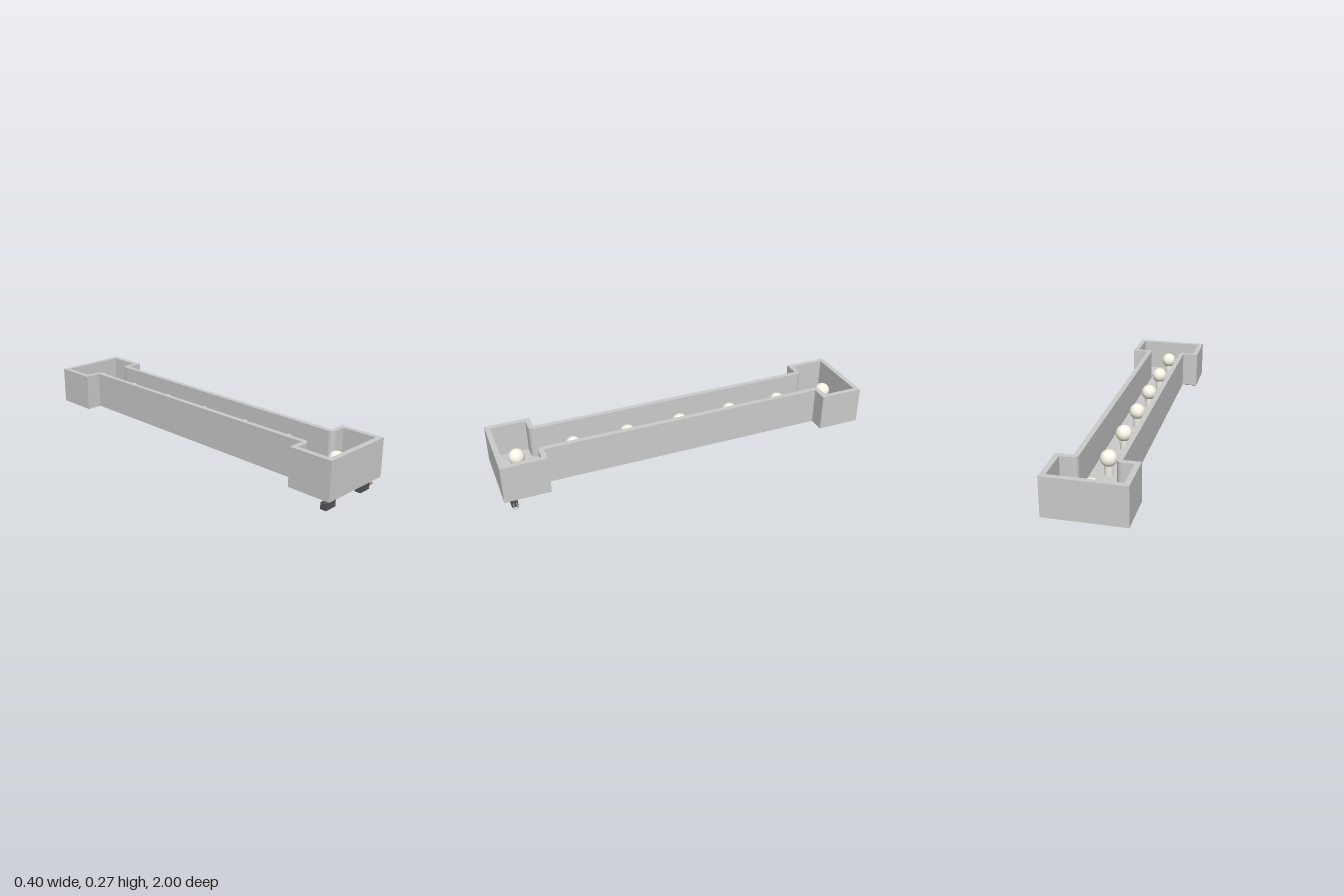
import * as THREE from 'three';

const grey = new THREE.MeshStandardMaterial({ color: 0xcccccc });
const dark = new THREE.MeshStandardMaterial({ color: 0x555555 });
const bulbMat = new THREE.MeshStandardMaterial({ color: 0xfaf5e8 });
const wireMat = new THREE.MeshStandardMaterial({ color: 0xb0b0b0 });
const bladeMat = new THREE.MeshStandardMaterial({ color: 0xa8a298 });

const BOTTOM = 0.065, FLOOR = 0.092, TOP = 0.265;
const END_X = 0.201, NECK_X = 0.115, END_Z = 1, NECK_Z = 0.765, WALL = 0.027;

function add(group, name, geometry, material, x = 0, y = 0, z = 0) {
  const mesh = new THREE.Mesh(geometry, material);
  mesh.name = name;
  mesh.position.set(x, y, z);
  group.add(mesh);
  return mesh;
}

// Mirror one quarter of an outline into a closed, clockwise loop
function mirrorQuarter(quarter) {
  const right = [...quarter, ...quarter.map(([x, z]) => [x, -z]).reverse()];
  const left = right.map(([x, z]) => [-x, z]).reverse();
  return [...right, ...left].map(([x, z]) => new THREE.Vector2(x, z));
}

// Outline of the tray: a narrow neck with a wide block at each end
function outerPoints() {
  return mirrorQuarter([[END_X, END_Z], [END_X, NECK_Z], [NECK_X, NECK_Z]]);
}

// Outline set in by the wall thickness, rounded at the neck corners
function innerPoints() {
  const quarter = [[END_X - WALL, END_Z - WALL], [END_X - WALL, NECK_Z + WALL]];
  for (let i = 0; i <= 8; i++) {
    const a = (Math.PI / 2) * (1 + i / 8);
    quarter.push([NECK_X + WALL * Math.cos(a), NECK_Z + WALL * Math.sin(a)]);
  }
  return mirrorQuarter(quarter);
}

function slab(shape, y0, y1) {
  const g = new THREE.ExtrudeGeometry(shape, { depth: y1 - y0, bevelEnabled: false });
  return g.rotateX(-Math.PI / 2).translate(0, y0, 0);
}

function wire(points) {
  const curve = new THREE.CatmullRomCurve3(points.map((p) => new THREE.Vector3(...p)));
  return new THREE.TubeGeometry(curve, 80, 0.005, 8);
}

export function createModel() {
  const model = new THREE.Group();
  model.name = 'bulbTray';

  // Open tray: floor and surrounding wall (the hole runs against the outline)
  add(model, 'trayFloor', slab(new THREE.Shape(innerPoints()), BOTTOM, FLOOR), grey, -0.001);
  const rim = new THREE.Shape(outerPoints());
  rim.holes.push(new THREE.Path(innerPoints().reverse()));
  add(model, 'trayWall', slab(rim, BOTTOM, TOP), grey, -0.001);

  // Seven bulbs, each with a neck and a socket under the floor
  for (let i = -3; i <= 3; i++) {
    const light = new THREE.Group();
    light.name = 'light';
    light.position.set(-0.002, 0, i * 0.295 - 0.001);
    add(light, 'bulb', new THREE.SphereGeometry(0.042, 32, 20), bulbMat, 0, 0.179, 0);
    add(light, 'bulbNeck', new THREE.CylinderGeometry(0.024, 0.02, 0.07, 24), bulbMat, 0, 0.12, 0);
    add(light, 'socket', new THREE.CylinderGeometry(0.023, 0.023, 0.046, 24), dark, 0, 0.047, 0);
    model.add(light);
  }

  // Connector blocks at the front end
  for (const x of [-0.136, 0.132]) {
    add(model, 'connector', new THREE.BoxGeometry(0.072, 0.035, 0.032), dark, x, 0.0175, 0.947);
  }
  // Two contact blades on the left connector
  for (const z of [0.939, 0.955]) {
    add(model, 'contactBlade', new THREE.BoxGeometry(0.036, 0.013, 0.004), bladeMat, 0.184, 0.0185, z);
  }

  // Slack wires running along the row of sockets
  add(model, 'leftWire', wire([
    [0.1, 0.032, 0.947], [0.075, 0.033, 0.9], [0.05, 0.029, 0.8], [0.03, 0.034, 0.59],
    [0.034, 0.028, 0.44], [0.026, 0.033, 0.29], [0.033, 0.028, 0.15], [0.026, 0.033, 0],
    [0.031, 0.028, -0.15], [0.025, 0.033, -0.3], [0.028, 0.028, -0.45], [0.024, 0.033, -0.59],
    [0.012, 0.033, -0.7], [0, 0.034, -0.81]]), wireMat);
  add(model, 'rightWire', wire([
    [-0.1, 0.032, 0.947], [-0.06, 0.029, 0.935], [-0.027, 0.033, 0.89], [-0.03, 0.034, 0.75],
    [-0.028, 0.033, 0.59], [-0.037, 0.029, 0.44], [-0.028, 0.033, 0.29], [-0.037, 0.029, 0.15],
    [-0.028, 0.033, 0], [-0.035, 0.029, -0.15], [-0.028, 0.033, -0.3], [-0.03, 0.029, -0.45],
    [-0.015, 0.033, -0.58]]), wireMat);

  return model;
}
